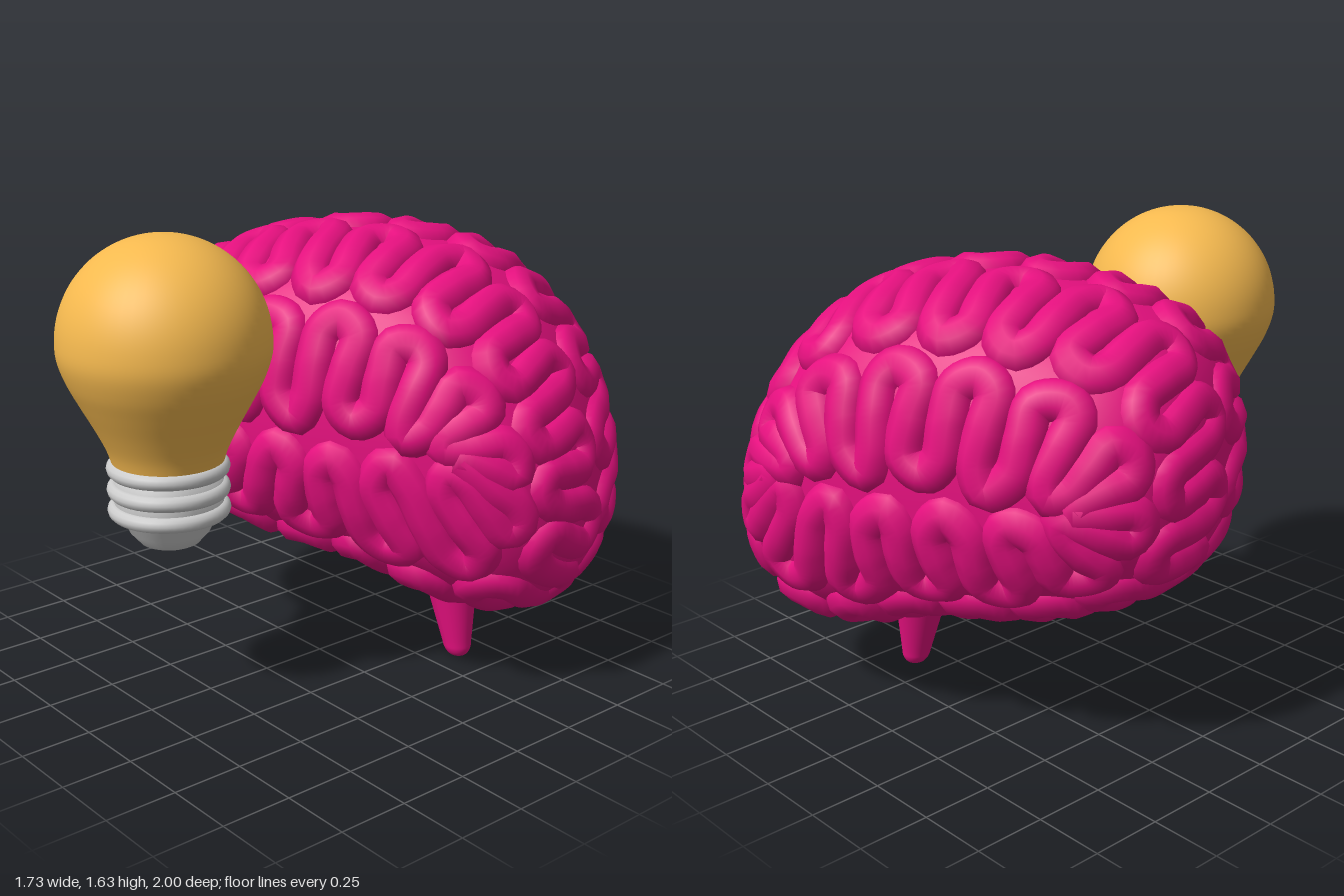
import * as THREE from 'three';
import { ParametricGeometry } from 'three/addons/geometries/ParametricGeometry.js';

const PINK = new THREE.MeshStandardMaterial({ color: 0xe6107f });
const AMBER = new THREE.MeshStandardMaterial({ color: 0xf5b94f });
const GREY = new THREE.MeshStandardMaterial({ color: 0xcccccc });

const HALF_WIDTH = 0.53;
const MID_Y = 0.93;

// Side outline of the brain, clockwise from its front end
const outline = new THREE.CatmullRomCurve3([
  [-0.785, 0.95], [-0.755, 1.18], [-0.64, 1.355], [-0.38, 1.465], [0, 1.503], [0.35, 1.428],
  [0.555, 1.27], [0.695, 1.05], [0.78, 0.77], [0.768, 0.485], [0.64, 0.335], [0.4, 0.325],
  [0.1, 0.42], [-0.3, 0.475], [-0.57, 0.57], [-0.735, 0.695],
].map(([x, y]) => new THREE.Vector3(x, y, 0)), true);

// Point on the brain: s runs round the outline, phi (degrees) from the midline to the cheek,
// where the outline shrinks to a level line; the cheeks taper towards both ends
function brainPoint(s, phi, target = new THREE.Vector3()) {
  const o = outline.getPointAt(((s % 1) + 1) % 1);
  const a = THREE.MathUtils.degToRad(phi);
  const c = Math.pow(Math.max(Math.cos(a), 0), 0.8);
  const w = Math.sign(a) * Math.pow(Math.abs(Math.sin(a)), 0.8);
  const x = THREE.MathUtils.lerp(o.x * 0.62, o.x, c);
  return target.set(x, THREE.MathUtils.lerp(MID_Y, o.y, c), HALF_WIDTH * w * (1 - 0.35 * x * x));
}

// The filling stands a little proud of the fold centres so the grooves stay shallow
function corePoint(u, v, target) {
  brainPoint(v, -90 + 180 * u, target);
  target.y -= MID_Y;
  target.multiplyScalar(1.055);
  target.y += MID_Y;
}

function add(parent, name, geometry, material) {
  const mesh = new THREE.Mesh(geometry, material);
  mesh.name = name;
  parent.add(mesh);
  return mesh;
}

// A closed winding fold that zigzags between two latitudes all round one hemisphere
function foldRing(side, strokes, phiA, phiB, radius, seed) {
  const points = [];
  for (let i = 0; i < strokes; i++) {
    const up = i % 2 === 0;
    const wobble = 0.18 * Math.sin(i * 2.4 + seed);
    for (const f of [0.14, 0.5, 0.86]) {
      const s = (i + wobble * (f - 0.5) * 2) / strokes;
      points.push(brainPoint(s, side * THREE.MathUtils.lerp(phiA, phiB, up ? f : 1 - f)));
    }
    const end = 1 + 0.03 * Math.sin(i * 1.7 + seed);
    points.push(brainPoint((i + 0.5) / strokes,
      side * THREE.MathUtils.lerp(phiA, phiB, up ? end : 1 - end)));
  }
  const path = new THREE.CatmullRomCurve3(points, true, 'centripetal');
  path.arcLengthDivisions = 1500;
  return new THREE.TubeGeometry(path, strokes * 18, radius, 10, true);
}

function createBrain() {
  const brain = new THREE.Group();
  brain.name = 'brain';

  add(brain, 'brainCore', new ParametricGeometry(corePoint, 40, 72), PINK);

  for (const side of [1, -1]) {
    const label = side > 0 ? 'left' : 'right';
    add(brain, label + 'MidlineFolds', foldRing(side, 36, 3.2, 41.5, 0.076, side), PINK);
    add(brain, label + 'SideFolds', foldRing(side, 28, 53.5, 86, 0.076, 2 + side), PINK);
  }

  brain.rotation.y = THREE.MathUtils.degToRad(22.5);
  brain.position.z = -0.285;
  return brain;
}

// Tapered stem leaning towards its tip
function createStem(parent) {
  const profile = [[0, 0], [0.03, 0.006], [0.048, 0.03], [0.056, 0.07], [0.08, 0.2],
    [0.105, 0.34], [0.12, 0.48]].map(([r, y]) => new THREE.Vector2(r, y));
  const geometry = new THREE.LatheGeometry(new THREE.SplineCurve(profile).getPoints(30), 32);
  geometry.applyMatrix4(new THREE.Matrix4().set(
    1, -0.17, 0, 0.36,
    0, 1, 0, 0,
    0, 0, 1, -0.365,
    0, 0, 0, 1));
  geometry.computeVertexNormals();
  add(parent, 'brainStem', geometry, PINK);
}

function createBulb() {
  const bulb = new THREE.Group();
  bulb.name = 'lightBulb';

  // Glass: straight flared neck running into a round head
  const profile = [[0.18, 0.86], [0.2, 0.925], [0.236, 1.0], [0.285, 1.09], [0.323, 1.165]]
    .map(([r, y]) => new THREE.Vector2(r, y));
  for (let d = -6; d <= 90; d += 12) {
    const a = THREE.MathUtils.degToRad(d);
    profile.push(new THREE.Vector2(Math.max(0, 0.35 * Math.cos(a)), 1.28 + 0.35 * Math.sin(a)));
  }
  add(bulb, 'glass', new THREE.LatheGeometry(new THREE.SplineCurve(profile).getPoints(60), 56), AMBER);

  // Metal cap with rounded foot
  const cap = [[0, 0.583], [0.07, 0.587], [0.1, 0.6], [0.135, 0.64], [0.158, 0.69],
    [0.182, 0.715], [0.182, 0.87], [0, 0.885]].map(([r, y]) => new THREE.Vector2(r, y));
  add(bulb, 'cap', new THREE.LatheGeometry(cap, 48), GREY);

  // Screw thread rings
  for (const y of [0.717, 0.788, 0.861]) {
    const ring = add(bulb, 'threadRing', new THREE.TorusGeometry(0.178, 0.027, 12, 48), GREY);
    ring.rotation.x = Math.PI / 2;
    ring.position.y = y;
  }

  bulb.position.z = 0.65;
  return bulb;
}

export function createModel() {
  const model = new THREE.Group();
  model.name = 'brainWithLightBulb';
  model.add(createBrain(), createBulb());
  createStem(model);
  return model;
}
